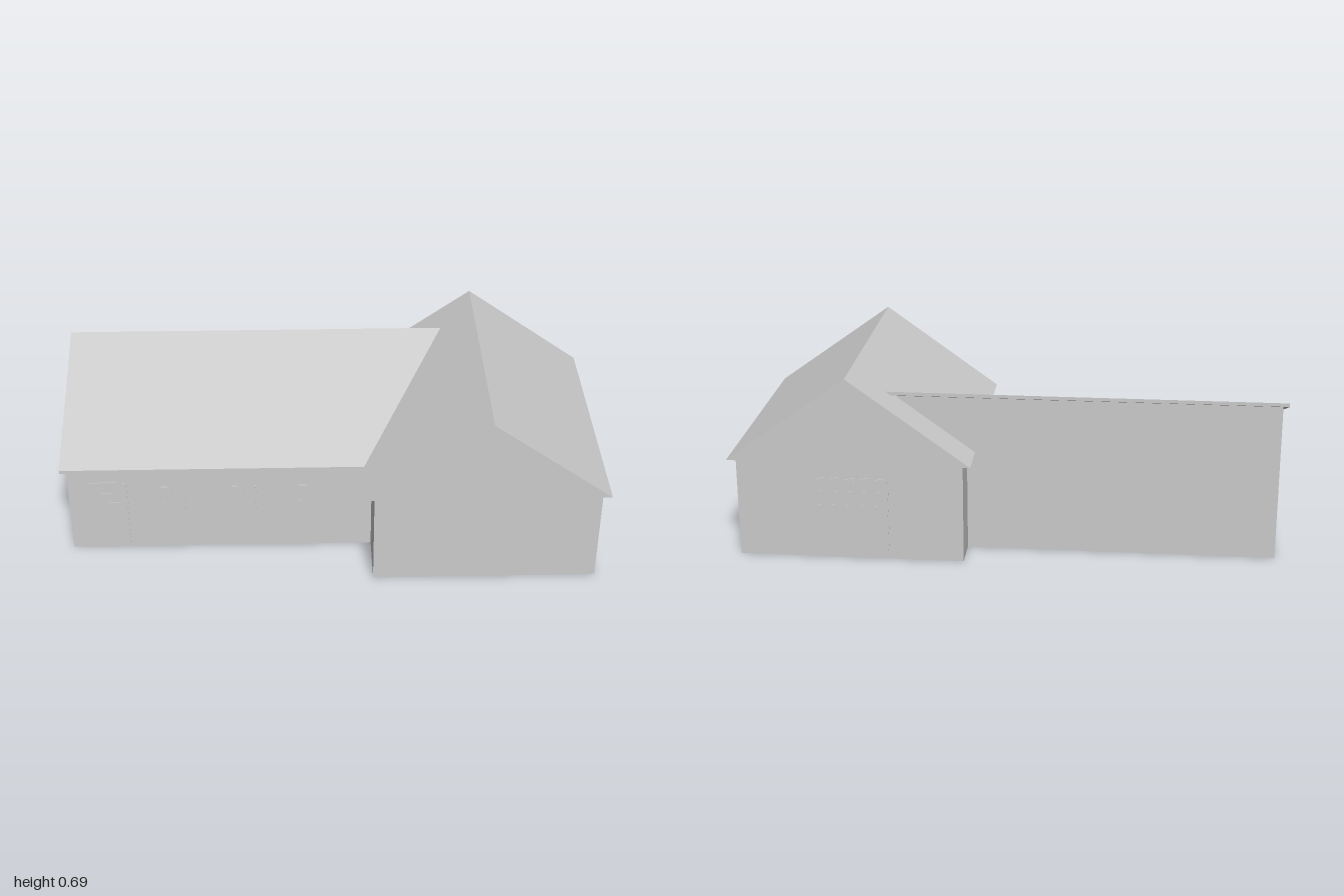
import * as THREE from 'three';

const grey = new THREE.MeshStandardMaterial({ color: 0xcccccc, flatShading: true });

function add(parent, name, geometry) {
  const mesh = new THREE.Mesh(geometry, grey);
  mesh.name = name;
  parent.add(mesh);
  return mesh;
}

// Box given by its minimum and maximum corners
function box(parent, name, [x0, y0, z0], [x1, y1, z1]) {
  const mesh = add(parent, name, new THREE.BoxGeometry(x1 - x0, y1 - y0, z1 - z0));
  mesh.position.set((x0 + x1) / 2, (y0 + y1) / 2, (z0 + z1) / 2);
  return mesh;
}

function extrude(points, depth) {
  const shape = new THREE.Shape(points.map(([u, v]) => new THREE.Vector2(u, v)));
  return new THREE.ExtrudeGeometry(shape, { depth, bevelEnabled: false });
}

// Side profile of (z, y) points run along x
function alongX(parent, name, profile, x0, x1) {
  const geometry = extrude(profile.map(([z, y]) => [-z, y]), x1 - x0);
  geometry.rotateY(Math.PI / 2).translate(x0, 0, 0);
  return add(parent, name, geometry);
}

// Flat panel facing +z with its base at the origin, glazed by raised panes.
// Each pane is [left, bottom, right, top].
function panel(name, width, height, panes) {
  const group = new THREE.Group();
  group.name = name;
  box(group, name + 'Leaf', [-width / 2, 0, -0.004], [width / 2, height, 0.0015]);
  for (const [l, b, r, t] of panes) {
    box(group, name + 'Pane', [l, b, 0], [r, t, 0.0025]);
  }
  return group;
}

export function createModel() {
  const house = new THREE.Group();
  house.name = 'house';

  // Gabled block, with a solid roof overhanging all round
  box(house, 'gableWalls', [0.145, 0, -0.442], [0.967, 0.376, 0.442]);
  const gableRoof = extrude([[0.115, 0.375], [0.995, 0.375], [0.555, 0.692]], 0.94);
  add(house, 'gableRoof', gableRoof.translate(0, 0, -0.47));

  // Long wing with a single slope rising to the back, running into the gable roof
  alongX(house, 'wingWalls', [[0.235, 0], [0.235, 0.373], [-0.312, 0.584], [-0.312, 0]], -0.98, 0.4);
  alongX(house, 'wingRoof',
    [[0.262, 0.362], [0.262, 0.375], [-0.336, 0.605], [-0.336, 0.592]], -1, 0.435);

  // Front door with two top lights and a lower panel
  const door = panel('frontDoor', 0.146, 0.302, [
    [-0.07, 0.255, -0.002, 0.297], [0.002, 0.255, 0.07, 0.297],
    [-0.07, 0.215, 0.07, 0.25], [-0.07, 0.005, 0.07, 0.21],
  ]);
  door.position.set(-0.835, 0, 0.235);
  house.add(door);

  // Row of four-pane windows
  for (const x of [-0.592, -0.33, -0.08]) {
    const panes = [];
    for (const l of [-0.043, 0.002]) {
      for (const b of [0.004, 0.071]) panes.push([l, b, l + 0.041, b + 0.063]);
    }
    const win = panel('window', 0.092, 0.138, panes);
    win.position.set(x, 0.14, 0.235);
    house.add(win);
  }

  // Wide back door with two top lights above a plain leaf
  const backDoor = panel('backDoor', 0.27, 0.31, [
    [-0.131, 0.263, -0.002, 0.306], [0.002, 0.263, 0.131, 0.306],
    [-0.131, 0.21, 0.131, 0.258], [-0.131, 0.005, 0.131, 0.205],
  ]);
  backDoor.position.set(0.55, 0, -0.442);
  backDoor.rotation.y = Math.PI;
  house.add(backDoor);

  return house;
}
